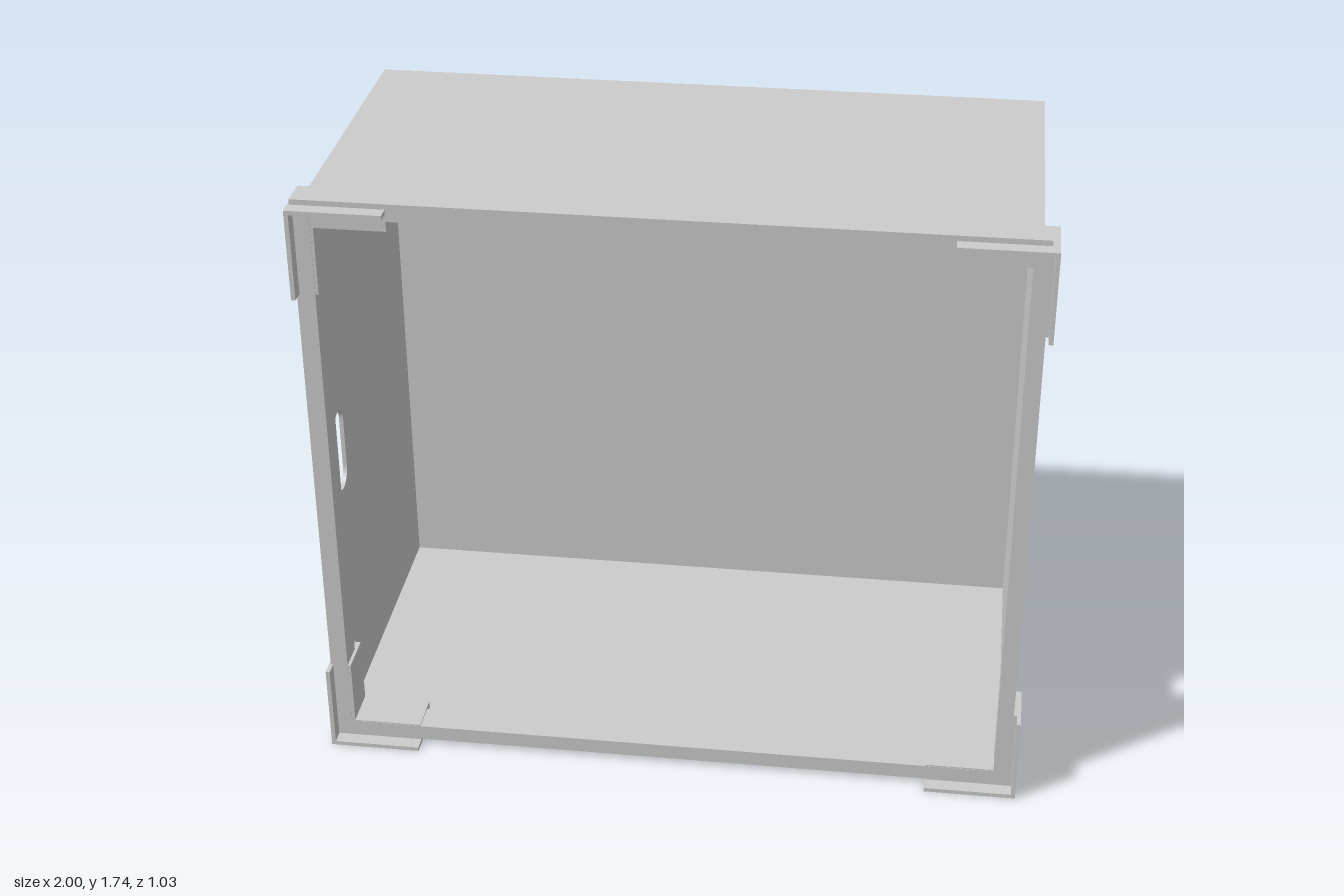
import * as THREE from 'three';

const material = new THREE.MeshStandardMaterial({ color: 0xcccccc, flatShading: true });

// Box given by its minimum and maximum corners.
function block(parent, name, [x0, y0, z0], [x1, y1, z1]) {
  const mesh = new THREE.Mesh(new THREE.BoxGeometry(x1 - x0, y1 - y0, z1 - z0), material);
  mesh.position.set((x0 + x1) / 2, (y0 + y1) / 2, (z0 + z1) / 2);
  mesh.name = name;
  parent.add(mesh);
}

function rectangle(Type, x0, y0, x1, y1) {
  const r = new Type();
  r.moveTo(x0, y0).lineTo(x1, y0).lineTo(x1, y1).lineTo(x0, y1).closePath();
  return r;
}

function extrude(shape, depth) {
  return new THREE.ExtrudeGeometry(shape, { depth, bevelEnabled: false, curveSegments: 16 });
}

export function createModel() {
  const model = new THREE.Group();
  model.name = 'crate';

  // Thin shell, open at the front
  const T = 0.012;
  const L = -0.98, R = 0.96, B = 0.03, H = 1.715, back = -0.515, front = 0.4;
  const shell = new THREE.Group();
  shell.name = 'shell';
  model.add(shell);
  block(shell, 'backPanel', [L, B, back], [R, H, back + T]);
  block(shell, 'bottomPanel', [L, B, back + T], [R, B + T, front]);
  block(shell, 'topPanel', [L, H - T, back + T], [R, H, front]);

  // Side panels with a slotted hand hole
  const side = rectangle(THREE.Shape, back + T, B + T, front, H - T);
  const slot = new THREE.Path();
  const zc = 0.29, r = 0.05;
  slot.absarc(zc, 0.95, r, 0, Math.PI, false);
  slot.absarc(zc, 0.80, r, Math.PI, Math.PI * 2, false);
  slot.closePath();
  side.holes.push(slot);
  const sideGeometry = extrude(side, T).rotateY(-Math.PI / 2);
  for (const [name, x] of [['leftPanel', R], ['rightPanel', L + T]]) {
    const panel = new THREE.Mesh(sideGeometry, material);
    panel.name = name;
    panel.position.x = x;
    shell.add(panel);
  }

  // Rim frame around the opening
  const rimShape = rectangle(THREE.Shape, -0.995, 0.015, 0.98, 1.74);
  rimShape.holes.push(rectangle(THREE.Path, -0.945, 0.06, 0.935, 1.69));
  const rim = new THREE.Mesh(extrude(rimShape, 0.085), material);
  rim.name = 'rim';
  rim.position.z = 0.39;
  model.add(rim);

  // L-shaped corner guards: a thin outer angle reaching forward, a thicker body gripping the rim
  const height = 1.725, arm = 0.26;
  const angle = (sx, top, thick, depth) => {
    const points = [[0, 0], [arm, 0], [arm, thick], [thick, thick], [thick, arm], [0, arm]];
    const shape = new THREE.Shape(points.map(([u, v]) =>
      new THREE.Vector2(sx * (1 - u), top ? height - v : v)));
    return new THREE.Mesh(extrude(shape, depth), material);
  };
  for (const sx of [-1, 1]) {
    for (const top of [false, true]) {
      const guard = new THREE.Group();
      guard.name = (top ? 'top' : 'bottom') + (sx > 0 ? 'Left' : 'Right') + 'CornerGuard';
      const outer = angle(sx, top, 0.012, 0.16);
      outer.name = 'outerAngle';
      const body = angle(sx, top, 0.064, 0.119);
      body.name = 'innerAngle';
      guard.add(outer, body);
      guard.position.z = 0.355;
      model.add(guard);
    }
  }
  return model;
}
